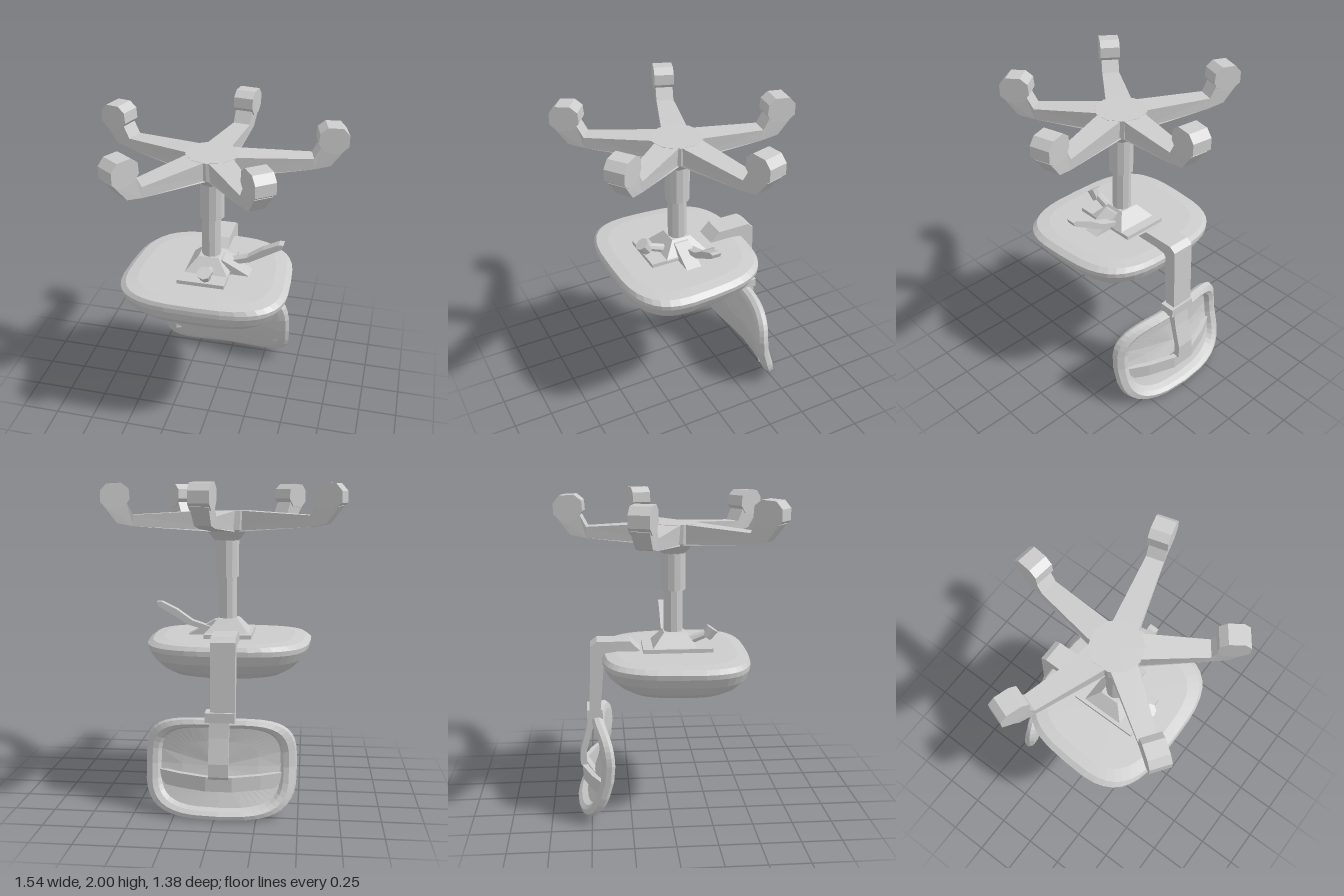
import * as THREE from 'three';

const CX = -0.02, CZ = 0.04; // column axis

export function createModel() {
  const model = new THREE.Group();
  const mat = new THREE.MeshStandardMaterial({ color: 0xcccccc, flatShading: true, side: THREE.DoubleSide });

  const add = (name, geo, x = 0, y = 0, z = 0, parent = model) => {
    const mesh = new THREE.Mesh(geo, mat);
    mesh.name = name;
    mesh.position.set(x, y, z);
    parent.add(mesh);
    return mesh;
  };

  // Flat outline extruded symmetrically about its plane
  const slab = (points, width) => {
    const shape = new THREE.Shape(points.map(p => new THREE.Vector2(...p)));
    return new THREE.ExtrudeGeometry(shape, { depth: width, bevelEnabled: false, steps: 1 })
      .translate(0, 0, -width / 2);
  };

  // Skin through stacked closed rings; at(ring, c, s) gives a point
  const loft = (rings, n, power, at) => {
    const pos = [], idx = [];
    const sup = v => Math.sign(v) * Math.abs(v) ** (2 / power);
    rings.forEach((ring, i) => {
      for (let j = 0; j < n; j++) {
        const t = (j / n) * Math.PI * 2;
        pos.push(...at(ring, sup(Math.cos(t)), sup(Math.sin(t))));
        if (i === 0) continue;
        const a = (i - 1) * n + j, b = (i - 1) * n + (j + 1) % n;
        idx.push(a, a + n, b, b, a + n, b + n);
      }
    });
    const geo = new THREE.BufferGeometry();
    geo.setAttribute('position', new THREE.Float32BufferAttribute(pos, 3));
    geo.setIndex(idx);
    geo.computeVertexNormals();
    return geo;
  };

  // Star base: hub, five legs and casters, feet upwards
  add('hub', new THREE.CylinderGeometry(0.16, 0.15, 0.12, 10), CX, 1.77, CZ);
  add('hubCone', new THREE.CylinderGeometry(0.15, 0.075, 0.08, 10), CX, 1.68, CZ);
  const tips = [[0.07, -0.69], [0.75, -0.17], [0.41, 0.62], [-0.46, 0.65], [-0.75, -0.21]];
  for (const [tx, tz] of tips) {
    const dx = tx - CX, dz = tz - CZ, L = Math.hypot(dx, dz);
    const leg = new THREE.Group();
    leg.name = 'leg';
    leg.position.set(CX, 0, CZ);
    leg.rotation.y = Math.atan2(-dz, dx);
    model.add(leg);
    const arm = slab([[0, 1.7], [0.12, 1.7], [L - 0.2, 1.735], [L - 0.1, 1.755], [L - 0.02, 1.86],
      [L - 0.06, 1.92], [L - 0.16, 1.88], [L - 0.2, 1.805], [0.12, 1.83], [0, 1.83]], 1);
    const p = arm.attributes.position;
    for (let i = 0; i < p.count; i++) {
      const taper = Math.min(1, Math.max(0, (p.getX(i) - 0.1) / 0.4));
      const low = p.getY(i) < 1.78 ? 0.9 : 1;
      p.setZ(i, p.getZ(i) * (0.16 - 0.05 * taper) * low);
    }
    arm.computeVertexNormals();
    add('legArm', arm, 0, 0, 0, leg);
    const c = L - 0.09;
    add('caster', slab([[c - 0.09, 1.9], [c - 0.05, 1.85], [c + 0.04, 1.84], [c + 0.09, 1.88], [c + 0.09, 1.95],
      [c + 0.05, 1.995], [c - 0.04, 2], [c - 0.085, 1.965]], 0.125), 0, 0, 0, leg);
  }

  // Gas column
  add('columnSleeve', new THREE.CylinderGeometry(0.077, 0.077, 0.24, 12), CX, 1.53, CZ);
  add('columnRod', new THREE.CylinderGeometry(0.06, 0.06, 0.44, 10), CX - 0.005, 1.23, CZ);

  // Seat cushion, crown facing down: [y, half width, half depth, z centre]
  const seatRings = [[0.79, 0, 0, 0.05], [0.79, 0.27, 0.24, 0.05], [0.81, 0.36, 0.31, 0.05],
    [0.85, 0.43, 0.38, 0.055], [0.91, 0.485, 0.44, 0.05], [0.97, 0.52, 0.463, 0.045],
    [1.0, 0.525, 0.463, 0.045], [1.025, 0.49, 0.45, 0.05], [1.035, 0.42, 0.38, 0.05], [1.035, 0, 0, 0.05]];
  add('seat', loft(seatRings, 40, 3.2, ([y, w, d, z], c, s) =>
    [-0.035 + w * c * (1 + 0.06 * s), y, z + d * s]));

  // Tilt mechanism under the seat
  add('mountingPlate', new THREE.BoxGeometry(0.3, 0.03, 0.44), -0.04, 1.045, 0.06);
  const housing = new THREE.CylinderGeometry(0.09, 0.2, 0.09, 4).rotateY(Math.PI / 4);
  add('mechanismHousing', housing, -0.03, 1.1, CZ);
  add('housingFlank', slab([[-0.18, 1.03], [0.24, 1.03], [0.06, 1.13], [-0.05, 1.13]], 0.1), 0, 0, 0.05);
  const knobStem = add('knobStem', new THREE.CylinderGeometry(0.025, 0.03, 0.16, 8), -0.01, 1.09, 0.19);
  knobStem.rotation.x = 1.2;
  const knob = add('tensionKnob', new THREE.CylinderGeometry(0.045, 0.035, 0.07, 8), -0.01, 1.12, 0.275);
  knob.rotation.x = 0.6;

  // Height lever
  add('lever', slab([[0.08, 1.06], [0.22, 1.1], [0.32, 1.16], [0.42, 1.22], [0.43, 1.25], [0.4, 1.25],
    [0.3, 1.2], [0.2, 1.13], [0.08, 1.09]], 0.06), 0, 0, 0.005);

  // Back support: outlines in (-z, y)
  const side = (name, pts, width, x) => add(name, slab(pts, width).rotateY(Math.PI / 2), x);
  side('backRail', [[0.17, 1.03], [0.24, 1.1], [0.45, 1.1], [0.49, 1.07], [0.505, 0.62], [0.435, 0.62],
    [0.41, 0.92], [0.39, 1.02]], 0.15, -0.045);
  add('backJoint', new THREE.BoxGeometry(0.18, 0.06, 0.1), -0.03, 0.62, -0.47);
  side('backStem', [[0.45, 0.62], [0.51, 0.62], [0.53, 0.5], [0.57, 0.35], [0.57, 0.27], [0.5, 0.18],
    [0.46, 0.18], [0.53, 0.29], [0.53, 0.35], [0.49, 0.5]], 0.12, -0.025);

  // Bowed cross bar joining the stem to the rim
  const bow = [[-0.38, 0.39], [-0.25, 0.46], [-0.08, 0.52], [0.08, 0.52], [0.25, 0.46], [0.38, 0.39]];
  const outline = [...bow.map(([x, d]) => [x, -d]), ...bow.map(([x, d]) => [x, -d - 0.035]).reverse()];
  add('backCrossBar', slab(outline, 0.09).rotateX(Math.PI / 2), -0.025, 0.22, 0);

  // Backrest: bowed pad with a raised rim behind, [scale, depth]
  const backRings = [[0, 0], [0.3, 0], [0.6, 0], [0.85, 0], [0.95, -0.012], [1, -0.04], [0.98, -0.07],
    [0.9, -0.085], [0.83, -0.07], [0.79, -0.035], [0.5, -0.03], [0, -0.03]];
  add('backrest', loft(backRings, 40, 3.6, ([k, depth], c, s) => {
    const x = 0.465 * k * c, y = 0.303 + 0.3 * k * s;
    const lean = 0.11 * (Math.max(0, 0.36 - y) / 0.36) ** 1.3;
    return [x - 0.025, y, -0.41 + 0.08 * (x / 0.465) ** 2 - lean + depth];
  }));

  return model;
}
